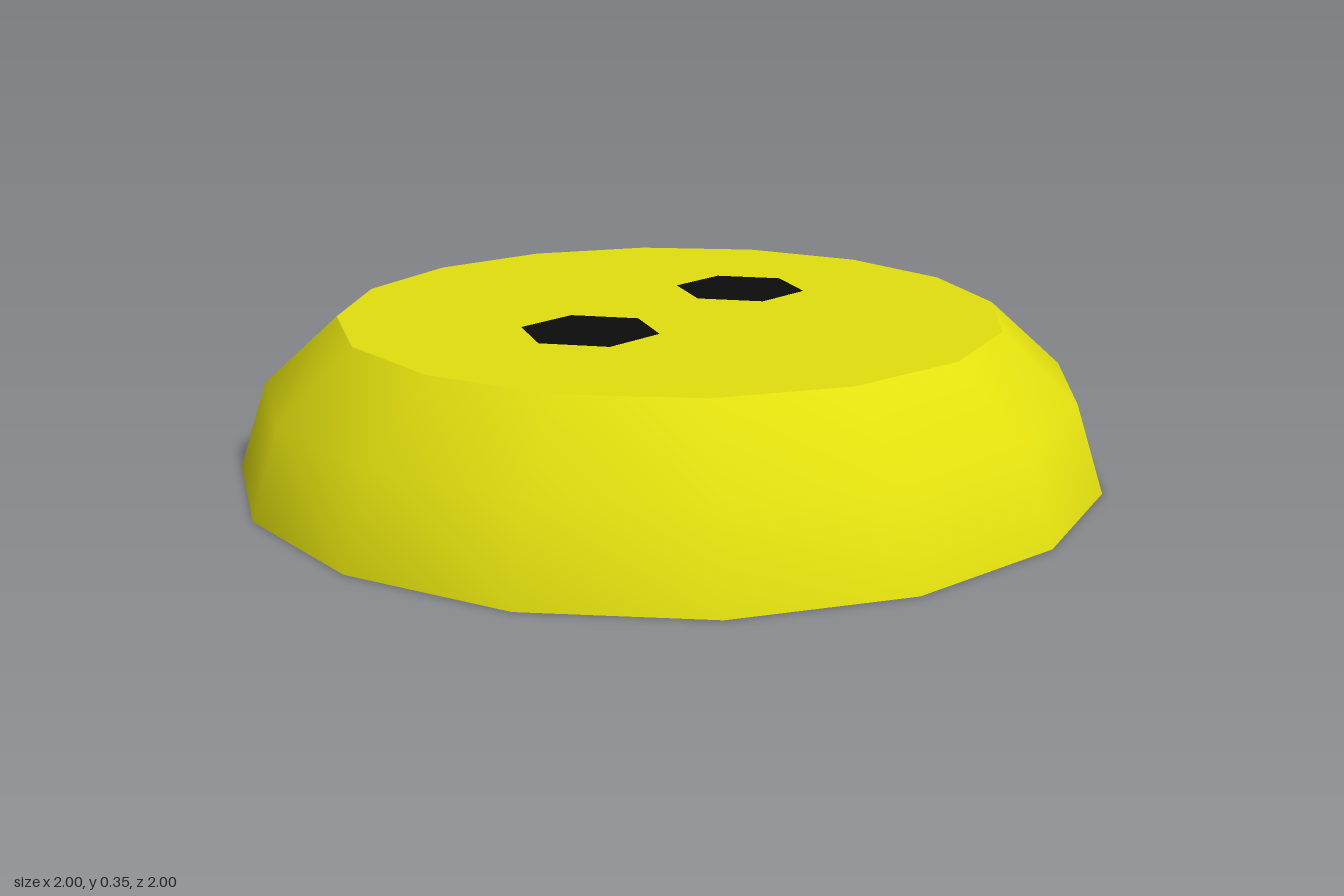
import * as THREE from 'three';

export function createModel() {
  const group = new THREE.Group();
  const yellow = new THREE.MeshStandardMaterial({ color: 0xe2e00e });
  yellow.name = 'yellow';
  const black = new THREE.MeshStandardMaterial({ color: 0x0c0c0c });
  black.name = 'black';

  const SIDES = 16, HEIGHT = 0.353, TOP_RADIUS = 0.765;

  function add(name, geometry, material, x = 0, y = 0, z = 0) {
    const mesh = new THREE.Mesh(geometry, material);
    mesh.name = name;
    mesh.position.set(x, y, z);
    group.add(mesh);
    return mesh;
  }

  // Smooth, tapered side wall
  const profile = [[1, 0], [0.935, 0.2], [TOP_RADIUS, HEIGHT]].map(([r, y]) => new THREE.Vector2(r, y));
  add('sideWall', new THREE.LatheGeometry(profile, SIDES), yellow);

  // Flat top and underside
  add('topFace', new THREE.CircleGeometry(TOP_RADIUS, SIDES).rotateX(-Math.PI / 2), yellow, 0, HEIGHT, 0);
  add('underside', new THREE.CircleGeometry(1, SIDES).rotateX(Math.PI / 2), yellow);

  // Two dark hexagonal nostrils, slightly turned
  for (const [name, x, z] of [['leftNostril', 0.28, -0.01], ['rightNostril', -0.282, 0.003]]) {
    const hexagon = new THREE.CircleGeometry(0.157, 6).rotateX(-Math.PI / 2).rotateY(-0.04);
    add(name, hexagon, black, x, HEIGHT + 0.002, z);
  }

  return group;
}
